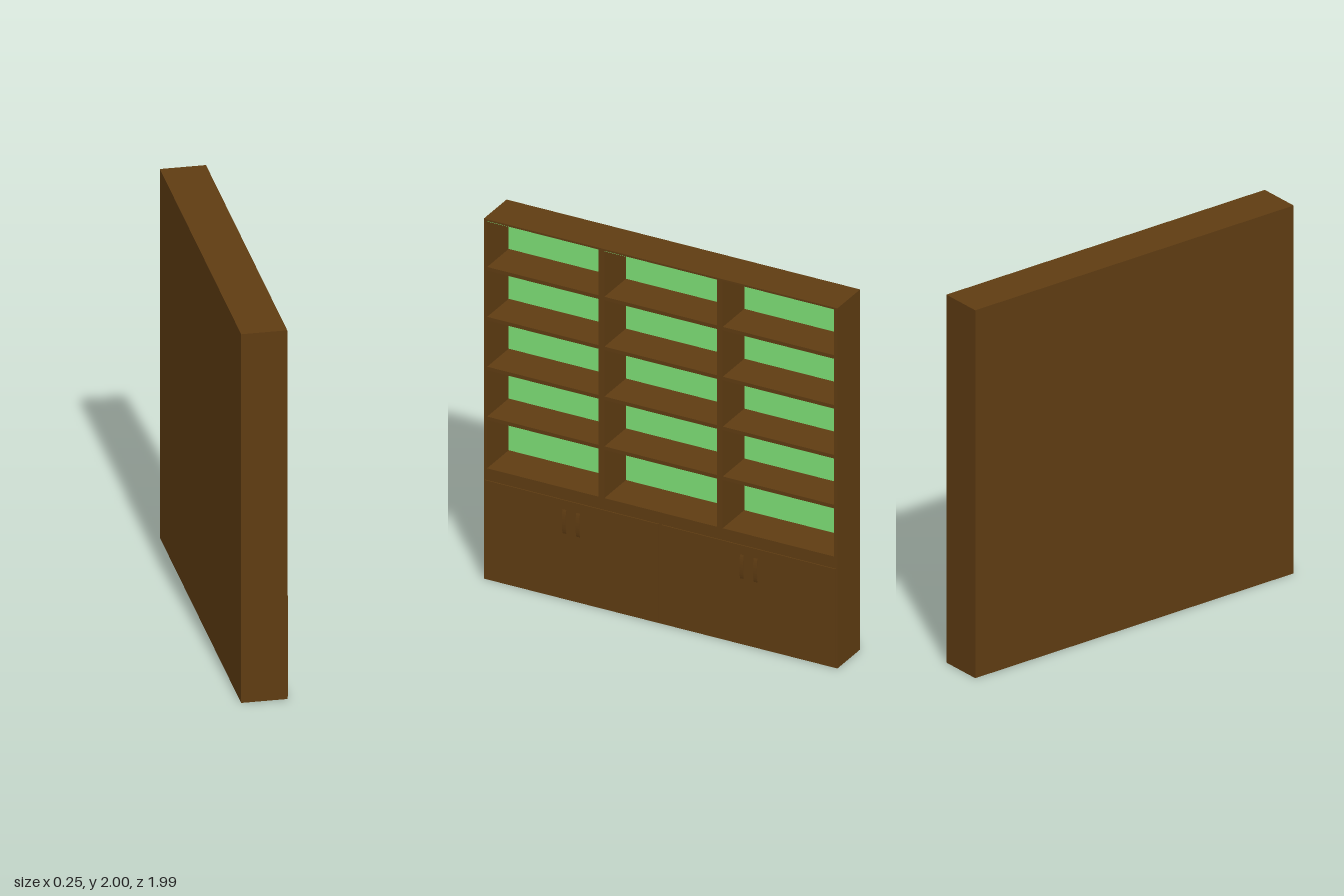
import * as THREE from 'three';

const wood = new THREE.MeshStandardMaterial({ color: 0x5f3c12 });
const green = new THREE.MeshStandardMaterial({ color: 0x7ee076 });

// Box given by its min and max along each axis
function box(parent, name, [x0, x1], [y0, y1], [z0, z1], material = wood) {
  const mesh = new THREE.Mesh(new THREE.BoxGeometry(x1 - x0, y1 - y0, z1 - z0), material);
  mesh.position.set((x0 + x1) / 2, (y0 + y1) / 2, (z0 + z1) / 2);
  mesh.name = name;
  parent.add(mesh);
  return mesh;
}

// Shallow bow handle: a band between two arcs, extruded across its width
function handleGeometry(height, rise, width) {
  const h = height / 2;
  const shape = new THREE.Shape();
  shape.moveTo(-0.003, -h);
  shape.bezierCurveTo(rise * 1.3, -h * 0.7, rise * 1.3, h * 0.7, -0.003, h);
  shape.lineTo(-0.003, h - 0.015);
  shape.bezierCurveTo(rise * 0.7, h * 0.55, rise * 0.7, -h * 0.55, -0.003, -h + 0.015);
  shape.closePath();
  const geometry = new THREE.ExtrudeGeometry(shape, { depth: width, bevelEnabled: false, curveSegments: 12 });
  return geometry.translate(0, 0, -width / 2);
}

export function createModel() {
  const model = new THREE.Group();
  model.name = 'bookcase';
  const back = -0.123, front = 0.109, half = 0.995, baseTop = 0.617, side = 0.018;
  const inner = half - side, inside = back + 0.008;

  // Outer case
  box(model, 'base', [back, front], [0, baseTop], [-half, half]);
  box(model, 'backPanel', [back, inside], [baseTop, 2], [-half, half]);
  box(model, 'topPanel', [inside, front], [1.99, 2], [-half, half]);
  for (const s of [-1, 1]) {
    const z = s * (half - side / 2);
    box(model, s > 0 ? 'leftSide' : 'rightSide', [inside, front], [baseTop, 1.99], [z - side / 2, z + side / 2]);
  }

  // Green lining on the back, and under the top of two bays
  box(model, 'backLining', [inside, inside + 0.003], [baseTop, 1.99], [-inner, inner], green);
  box(model, 'topLining', [inside, front - 0.002], [1.987, 1.99], [-0.317, inner], green);

  // Uprights between the three bays
  for (const z of [-0.333, 0.333]) {
    box(model, 'divider', [inside, front], [baseTop, 1.99], [z - 0.016, z + 0.016]);
  }

  // Shelves
  for (let i = 1; i <= 4; i++) {
    const y = baseTop + i * 0.277;
    box(model, 'shelf', [inside, front - 0.001], [y - 0.01, y + 0.01], [-inner, inner]);
  }

  // Cupboard doors with a pair of handles each
  const handle = handleGeometry(0.145, 0.009, 0.021);
  for (const s of [-1, 1]) {
    const zs = [s * 0.008, s * 0.987].sort((a, b) => a - b);
    box(model, 'door', [front - 0.01, 0.115], [0.01, 0.552], zs);
    for (const z of [0.461, 0.538]) {
      const mesh = new THREE.Mesh(handle, wood);
      mesh.name = 'handle';
      mesh.position.set(0.115, 0.434, s * z);
      model.add(mesh);
    }
  }
  return model;
}
